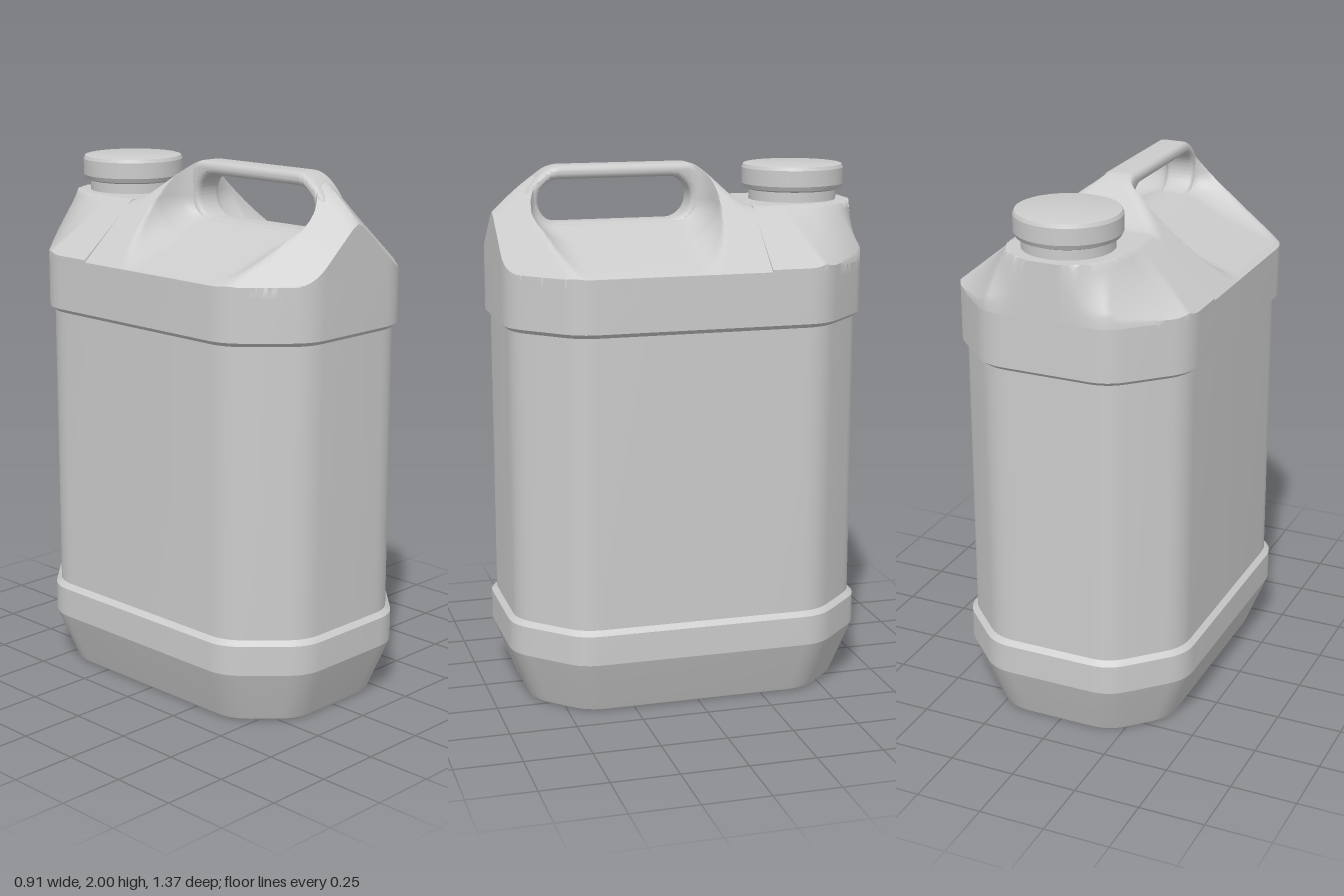
import * as THREE from 'three';
import { toCreasedNormals } from 'three/addons/utils/BufferGeometryUtils.js';

const HW = 0.457, HD = 0.684, SUM = 0.92; // half width, half depth, chamfer line x + z
const BAND = 1.64, LEDGE = 1.85, TOP = 2.0, CAPZ = -0.478, CAPR = 0.217;
const { min, max, abs, sqrt, hypot, sin, cos, PI, sign } = Math;
const { lerp, smoothstep } = THREE.MathUtils;

// Quarter of the rounded octagon, from the side (+x) round to the front (+z)
function quarter(inset) {
  const w = HW - inset, d = HD - inset, s = SUM - inset * 1.414, pts = [[w, 0]];
  const bend = (a, b, c) => {
    for (let i = 0; i <= 6; i++) {
      const t = i / 6, u = 1 - t;
      pts.push([0, 1].map(k => u * u * a[k] + 2 * u * t * b[k] + t * t * c[k]));
    }
  };
  bend([w, s - w - 0.07], [w, s - w], [w - 0.05, s - w + 0.05]);
  bend([s - d + 0.05, d - 0.05], [s - d, d], [s - d - 0.07, d]);
  pts.push([0, d]);
  return pts;
}

function ring(inset) {
  const q = quarter(inset), r = [...q].reverse();
  return [
    ...q.slice(0, -1),
    ...r.map(([x, z]) => [-x, z]).slice(0, -1),
    ...q.map(([x, z]) => [-x, -z]).slice(0, -1),
    ...r.map(([x, z]) => [x, -z]).slice(0, -1),
  ];
}

// Surface through rows of points
function skin(rows, closed, crease) {
  const n = rows[0].length, idx = [];
  for (let i = 0; i < rows.length - 1; i++) {
    for (let j = 0; j < (closed ? n : n - 1); j++) {
      const k = (j + 1) % n, a = i * n + j, b = i * n + k, c = a + n, d = b + n;
      if (closed) idx.push(a, c, b, b, c, d);
      else idx.push(a, b, c, b, d, c);
    }
  }
  const g = new THREE.BufferGeometry();
  g.setAttribute('position', new THREE.Float32BufferAttribute(rows.flat(2), 3));
  g.setIndex(idx);
  return toCreasedNormals(g, crease);
}

// Half depth of the outline at a given x
const outline = quarter(0);
function halfDepth(x) {
  x = abs(x);
  for (let i = 1; i < outline.length; i++) {
    const [x0, z0] = outline[i - 1], [x1, z1] = outline[i];
    if (x0 > x1 && x >= x1 - 1e-9) return lerp(z0, z1, min(1, (x0 - x) / (x0 - x1)));
  }
  return HD;
}

// Minimum with a rounded transition of width k
const softMin = (a, b, k) => min(a, b) - max(k - abs(a - b), 0) ** 2 / (4 * k);

// Grip recess: end walls, floor and fillet at a given x
function recess(x) {
  const t = min(1, max(0, (abs(x) - 0.055) / 0.15)), e = sqrt(1 - (1 - t) ** 2);
  return {
    back: -0.065 - 0.065 * e,
    front: 0.525 + 0.045 * e,
    floor: 1.787 - max(0, abs(x) - 0.06) * 0.36,
    r: 0.075 + 0.075 * t,
  };
}

// Height of the shoulder: tent sides, chamfered front, pouring ledge, grip recess
function height(x, z) {
  const ax = abs(x), az = abs(z);
  if (z < -0.25) {
    const dl = z > CAPZ ? ax - CAPR : hypot(x, z - CAPZ) - CAPR;
    if (dl <= 0) return LEDGE;
    const de = 0.01 + max(0, min(HW - ax, (SUM - ax - az) / 1.414, HD - az));
    return BAND + (LEDGE - BAND) * de / (de + dl);
  }
  const tent = BAND + (HW - ax) * 0.885;
  const chamfer = z > 0 ? BAND + max(0, SUM - ax - z) * 0.87 : 9;
  const ridge = z > 0.43
    ? TOP - 0.16 * ((z - 0.43) / (HD - 0.43)) ** 1.7
    : LEDGE + (TOP - LEDGE) * smoothstep(z, -0.25, -0.05);
  let y = softMin(softMin(tent, chamfer, 0.04), ridge, 0.03);
  const p = recess(x), d = min(z - p.back, p.front - z);
  if (d > -1e-6) {
    const k = max(0, p.r - max(0, d));
    y = softMin(y, p.floor + p.r - sqrt(max(0, p.r * p.r - k * k)), 0.02);
  }
  return max(BAND, y);
}

function shoulder() {
  const rows = [], NX = 56;
  for (let i = -NX; i <= NX; i++) {
    const x = sign(i) * HW * sin(abs(i) / NX * PI / 2), zm = halfDepth(x), p = recess(x);
    const zs = [];
    const span = (a, b, n, ease) => {
      for (let k = 0; k <= n; k++) zs.push(lerp(a, b, ease ? (1 - cos(PI * k / n)) / 2 : k / n));
    };
    // stations follow the recess walls and the outline
    span(-zm, -0.2501, 44);
    span(-0.25, p.back - 0.003, 16);
    span(p.back, min(p.front, zm - 0.01), 64, true);
    span(min(p.front + 0.003, zm - 0.007), zm, 18);
    // short skirt down into the band
    rows.push([[x, 1.6, -zm], ...zs.map(z => [x, height(x, z), z]), [x, 1.6, zm]]);
  }
  const drop = row => row.map(([x, , z]) => [x, 1.6, z]);
  return skin([drop(rows[0]), ...rows, drop(rows[rows.length - 1])], false, 0.7);
}

export function createModel() {
  const group = new THREE.Group();
  const mat = new THREE.MeshStandardMaterial({ color: 0xcccccc });
  const add = (name, geometry) => {
    const m = new THREE.Mesh(geometry, mat);
    m.name = name;
    group.add(m);
    return m;
  };

  // Octagonal body: [height, inset], closed at the bottom
  const profile = [[0, 0.085], [0.006, 0.079], [0.02, 0.073], [0.21, 0], [0.322, 0],
    [0.34, 0.019], [1.428, 0.019], [1.444, 0], [BAND, 0]];
  const rings = profile.map(([y, inset]) => ring(inset).map(([x, z]) => [x, y, z]));
  add('body', skin([rings[0].map(() => [0, 0, 0]), ...rings], true, 0.35));

  add('shoulder', shoulder());

  // Carrying handle: side profile with a rounded slot
  const b = 0.022;
  const side = new THREE.Shape();
  side.moveTo(-0.12 + b, 1.75);
  side.lineTo(-0.12 + b, 1.94 - b);
  side.quadraticCurveTo(-0.08, TOP - b, -0.04, TOP - b);
  side.lineTo(0.43, TOP - b);
  side.quadraticCurveTo(0.49, TOP - b, 0.57 - b, 1.92 - b);
  side.lineTo(0.57 - b, 1.75);
  const slot = new THREE.Path(), r = 0.08 + b, mid = 1.871;
  slot.absarc(0.02, mid, r, PI / 2, PI * 1.5, false);
  slot.absarc(0.44, mid, r, -PI / 2, PI / 2, false);
  side.holes.push(slot);
  const grip = new THREE.ExtrudeGeometry(side, {
    depth: 0.12 - 2 * b, bevelSize: b, bevelThickness: b, bevelSegments: 4, curveSegments: 20,
  });
  grip.translate(0, 0, -0.06 + b);
  grip.rotateY(-PI / 2); // profile x becomes z
  add('handle', toCreasedNormals(grip, 0.6));

  // Neck and screw cap
  const lathe = (name, pts) => {
    const g = new THREE.LatheGeometry(pts.map(p => new THREE.Vector2(...p)), 64);
    add(name, toCreasedNormals(g, 0.4)).position.z = CAPZ;
  };
  lathe('neck', [[0.166, 1.83], [0.166, 1.9]]);
  lathe('cap', [[0, 1.888], [0.17, 1.888], [0.185, 1.894], [0.193, 1.91], [0.193, 1.97],
    [0.187, 1.983], [0.18, 1.985], [0, 1.985]]);
  return group;
}
